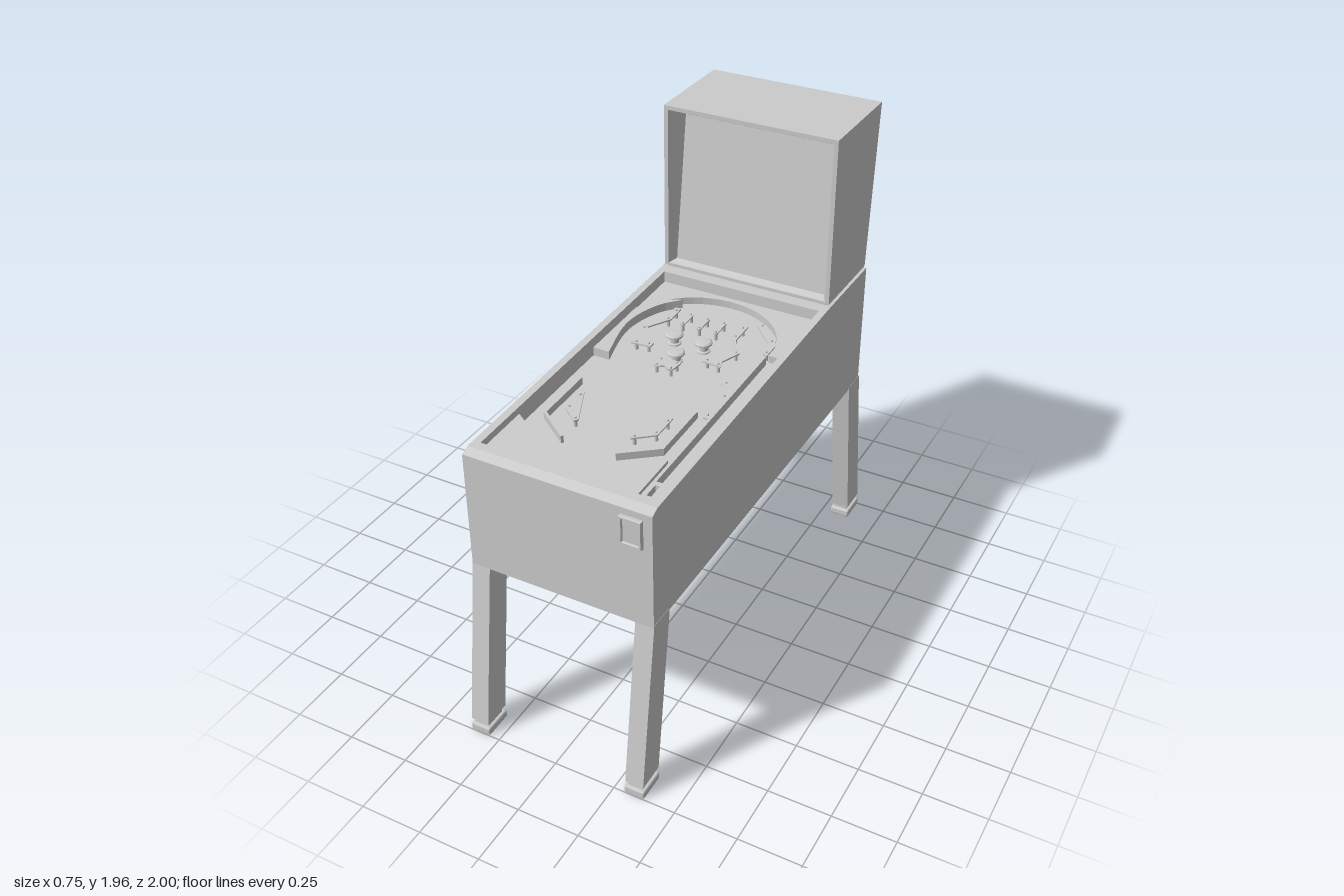
import * as THREE from 'three';
import { RoundedBoxGeometry } from 'three/addons/geometries/RoundedBoxGeometry.js';

const mat = new THREE.MeshStandardMaterial({ color: 0xcccccc, flatShading: true });
const smooth = new THREE.MeshStandardMaterial({ color: 0xcccccc });

function add(parent, name, geo, x = 0, y = 0, z = 0, m = mat) {
  const mesh = new THREE.Mesh(geo, m);
  mesh.name = name;
  mesh.position.set(x, y, z);
  parent.add(mesh);
  return mesh;
}

// Side outline of [z, y] points, extruded across x from x0 to x1
function sideSlab(pts, x0, x1) {
  const shape = new THREE.Shape(pts.map(p => new THREE.Vector2(p[0], p[1])));
  return new THREE.ExtrudeGeometry(shape, { depth: x1 - x0, bevelEnabled: false })
    .rotateY(-Math.PI / 2).translate(x1, 0, 0);
}

// Plan outline of [x, z] points, extruded upwards
function plan(pts, h, hole) {
  const vec = list => list.map(p => new THREE.Vector2(p[0], -p[1]));
  const shape = new THREE.Shape(vec(pts));
  if (hole) shape.holes.push(new THREE.Path(vec(hole)));
  return new THREE.ExtrudeGeometry(shape, { depth: h, bevelEnabled: false }).rotateX(-Math.PI / 2);
}

// Skin over four-cornered rings, closed at both ends
function loft(rings) {
  const pos = [];
  const quad = (a, b, c, d) => pos.push(...a, ...b, ...c, ...a, ...c, ...d);
  for (let i = 0; i + 1 < rings.length; i++) {
    for (let j = 0; j < 4; j++) {
      const k = (j + 1) % 4;
      quad(rings[i][j], rings[i][k], rings[i + 1][k], rings[i + 1][j]);
    }
  }
  const [a, b, c, d] = rings[0];
  quad(d, c, b, a);
  quad(...rings[rings.length - 1]);
  const geo = new THREE.BufferGeometry();
  geo.setAttribute('position', new THREE.Float32BufferAttribute(pos, 3));
  geo.computeVertexNormals();
  return geo;
}

const ring = (w, y0, y1, z0, z1) => [[-w, y0, z0], [w, y0, z0], [w, y1, z1], [-w, y1, z1]];
const rect = (x0, z0, x1, z1) => [[x0, z0], [x1, z0], [x1, z1], [x0, z1]];
const CX = -0.04; // centre line of the playfield
const mirror = pts => pts.map(([x, z]) => [2 * CX - x, z]);

function buildCabinet(g) {
  const top = [[0.9, 0.74], [0.9, 1.215], [0.865, 1.23]];
  const back = [[-0.52, 1.27], [-0.89, 1.27], [-0.89, 0.74]];
  for (const s of [-1, 1]) {
    add(g, 'cabinetSide', sideSlab([...top, ...back], s < 0 ? -0.37 : 0.34, s < 0 ? -0.34 : 0.37));
  }
  // Centre section is notched down to the sloping playfield
  add(g, 'cabinetBody', sideSlab([...top, [0.83, 1.231], [0.83, 1.155], [-0.48, 1.195],
    [-0.48, 1.269], ...back], -0.34, 0.34));

  // Coin door on the front
  const door = new THREE.Group();
  door.name = 'coinDoor';
  door.position.set(0.292, 1.13, 0.9);
  g.add(door);
  const frame = new THREE.Shape([[-0.043, -0.058], [0.043, -0.058], [0.043, 0.058], [-0.043, 0.058]]
    .map(p => new THREE.Vector2(...p)));
  frame.holes.push(new THREE.Path([[-0.031, -0.046], [-0.031, 0.046], [0.031, 0.046], [0.031, -0.046]]
    .map(p => new THREE.Vector2(...p))));
  add(door, 'doorFrame', new THREE.ExtrudeGeometry(frame, {
    depth: 0.011, bevelThickness: 0.004, bevelSize: 0.003, bevelOffset: -0.003, bevelSegments: 1 }));
  add(door, 'doorPanel', new THREE.BoxGeometry(0.064, 0.094, 0.01), 0, 0, 0.002);
}

function buildBackbox(g) {
  add(g, 'backboxSeam', new THREE.BoxGeometry(0.7, 0.012, 0.35), 0, 1.273, -0.708);
  // Tapered shell, then front rim, then a leaning recessed panel
  add(g, 'backbox', loft([
    ring(0.362, 1.278, 1.962, -0.89, -0.945),
    ring(0.362, 1.278, 1.962, -0.525, -0.525),
    ring(0.345, 1.288, 1.945, -0.525, -0.525),
    ring(0.34, 1.29, 1.94, -0.535, -0.535),
    ring(0.325, 1.298, 1.928, -0.56, -0.64),
  ]));
}

function buildLegs(g) {
  for (const sx of [-1, 1]) for (const sz of [-1, 1]) {
    const leg = new THREE.Group();
    leg.name = sz > 0 ? 'frontLeg' : 'backLeg';
    g.add(leg);
    const pts = [[0.9, 0.75], [0.79, 0.75], [0.79, 0.74], [0.882, 0.055], [0.997, 0.055], [0.9, 0.74]]
      .map(([z, y]) => [z * sz, y]);
    add(leg, 'post', sideSlab(pts, sx < 0 ? -0.371 : 0.297, sx < 0 ? -0.297 : 0.371));
    add(leg, 'footNeck', new THREE.BoxGeometry(0.058, 0.03, 0.09), sx * 0.333, 0.042, sz * 0.94);
    add(leg, 'footPad', new RoundedBoxGeometry(0.084, 0.034, 0.12, 2, 0.008),
      sx * 0.333, 0.017, sz * 0.94, smooth);
  }
}

// Thin plate held up by small posts with screw heads
function postedPlate(p, name, pts, posts) {
  const g = new THREE.Group();
  g.name = name;
  p.add(g);
  add(g, 'plate', plan(pts, 0.006), 0, 0.028, 0);
  for (const [x, z] of posts) {
    add(g, 'post', new THREE.CylinderGeometry(0.007, 0.007, 0.028, 10), x, 0.014, z, smooth);
    add(g, 'screw', new THREE.CylinderGeometry(0.004, 0.005, 0.006, 8), x, 0.037, z);
  }
}

function buildPlayfield(root) {
  const p = new THREE.Group();
  p.name = 'playfield';
  p.position.y = 1.1803;
  p.rotation.x = Math.atan(0.04 / 1.31);
  root.add(p);

  // Arch filling the far corners
  const arc = [];
  for (let i = 0; i <= 24; i++) {
    const a = Math.PI * i / 24;
    arc.push([-0.025 + 0.3 * Math.cos(a), -0.19 - 0.265 * Math.sin(a)]);
  }
  add(p, 'arch', plan([[0.338, -0.17], [0.275, -0.17], ...arc, [-0.338, -0.19],
    [-0.338, -0.478], [0.338, -0.478]], 0.03));

  // Curved guide down the left edge
  const guide = new THREE.SplineCurve([[-0.2, -0.375], [-0.265, -0.3], [-0.305, -0.19],
    [-0.308, -0.08], [-0.27, 0.085]].map(q => new THREE.Vector2(...q))).getPoints(16).map(v => [v.x, v.y]);
  add(p, 'sideGuide', plan([...guide, [-0.338, 0.085], [-0.338, -0.24], [-0.29, -0.34]], 0.036));

  // Apron, shooter lane wall and plunger block
  add(p, 'apron', plan([[-0.338, 0.595], [-0.16, 0.71], [-0.1, 0.737], [-0.04, 0.745], [0.02, 0.737],
    [0.08, 0.71], [0.262, 0.595], [0.262, 0.829], [-0.338, 0.829]], 0.05));
  add(p, 'laneWall', plan(rect(0.262, -0.15, 0.274, 0.829), 0.036));
  add(p, 'plungerBlock', plan(rect(0.274, 0.72, 0.338, 0.829), 0.055,
    [[0.293, 0.74], [0.293, 0.8], [0.31, 0.8], [0.31, 0.74]]));

  // Paired plates and lower guides
  const sling = [[-0.23, 0.355], [-0.215, 0.355], [-0.145, 0.51], [-0.155, 0.525], [-0.23, 0.465]];
  const slingPosts = [[-0.22, 0.375], [-0.218, 0.455], [-0.16, 0.508]];
  const wing = [[-0.2, -0.315], [-0.175, -0.315], [-0.172, -0.23], [-0.228, -0.14], [-0.15, -0.05],
    [-0.15, -0.022], [-0.232, -0.015], [-0.22, -0.05], [-0.253, -0.13], [-0.2, -0.205]];
  const wingPosts = [[-0.186, -0.295], [-0.186, -0.23], [-0.238, -0.13], [-0.165, -0.035], [-0.215, -0.028]];
  const rail = [[-0.285, 0.27], [-0.275, 0.27], [-0.275, 0.515], [-0.145, 0.612], [-0.151, 0.621], [-0.285, 0.521]];
  for (const f of [q => q, mirror]) {
    postedPlate(p, 'slingshot', f(sling), f(slingPosts));
    postedPlate(p, 'wingPlate', f(wing), f(wingPosts));
    add(p, 'lowerGuide', plan(f(rail), 0.03));
  }
  postedPlate(p, 'centreTarget', [[-0.088, 0.028], [-0.07, 0.022], [-0.01, 0.022], [0.008, 0.028],
    [0, 0.08], [-0.018, 0.085], [-0.04, 0.07], [-0.062, 0.085], [-0.08, 0.08]],
    [[-0.073, 0.035], [-0.007, 0.035], [-0.07, 0.075], [-0.01, 0.075]]);
  postedPlate(p, 'upperRightPlate', [[0.15, -0.36], [0.175, -0.355], [0.25, -0.29], [0.272, -0.235],
    [0.272, -0.16], [0.25, -0.17], [0.235, -0.245], [0.15, -0.335]], [[0.165, -0.345], [0.245, -0.26], [0.26, -0.18]]);
  postedPlate(p, 'rightPlate', [[0.262, -0.03], [0.262, 0.3], [0.24, 0.3], [0.245, 0.22], [0.215, 0.09],
    [0.2, 0.08], [0.21, 0.045], [0.235, 0.03]], [[0.217, 0.07], [0.25, 0.28], [0.25, 0.15]]);

  // Pop bumpers
  const profile = [[0, 0], [0.026, 0], [0.026, 0.005], [0.018, 0.008], [0.018, 0.032], [0.034, 0.034],
    [0.034, 0.041], [0.028, 0.046], [0, 0.048]].map(q => new THREE.Vector2(...q));
  for (const [x, z] of [[-0.105, -0.13], [0.021, -0.13], [CX, -0.022]]) {
    add(p, 'bumper', new THREE.LatheGeometry(profile, 24), x, 0, z);
  }

  // Top lane dividers
  for (const x of [-0.119, -0.047, 0.025]) {
    const bar = [];
    for (let i = 0; i < 16; i++) {
      const a = 2 * Math.PI * (i + 0.5) / 16;
      bar.push([x + 0.01 * Math.cos(a), -0.258 + 0.01 * Math.sin(a) + (Math.sin(a) > 0 ? 0.035 : -0.035)]);
    }
    postedPlate(p, 'laneDivider', bar, [[x, -0.293], [x, -0.223]]);
  }
}

export function createModel() {
  const g = new THREE.Group();
  g.name = 'pinballTable';
  buildCabinet(g);
  buildBackbox(g);
  buildLegs(g);
  buildPlayfield(g);
  return g;
}
